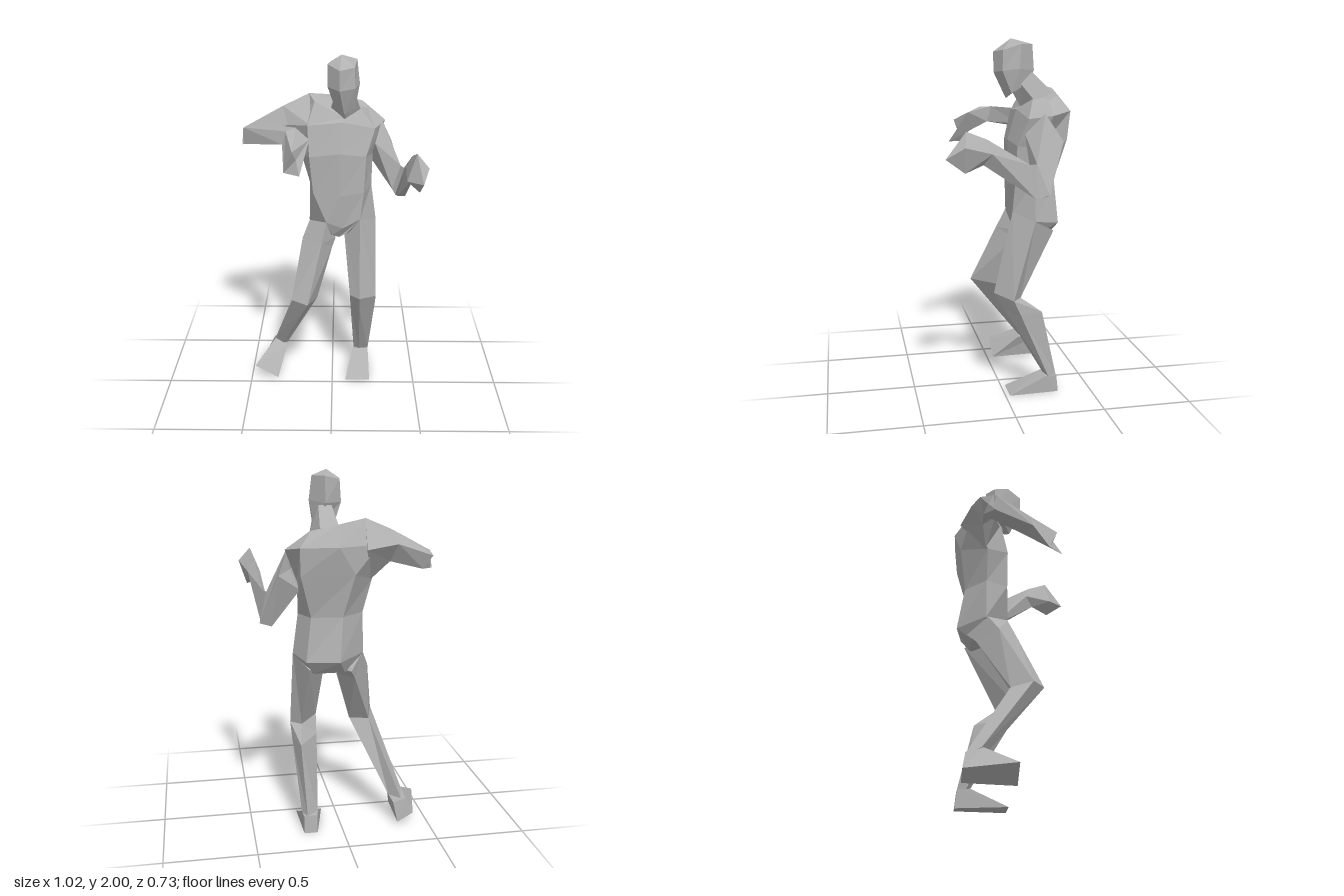
import * as THREE from 'three';

const grey = new THREE.MeshStandardMaterial({ color: 0xb0b0b0, flatShading: true });
grey.name = 'plain grey';

// Skin a series of cross-sections and cap both ends; the winding is set so faces point outward.
function loft(name, rings, tip) {
  const v = [], n = rings[0].length;
  const tri = (a, b, c) => v.push([a, b, c]);
  const centre = r => [0, 1, 2].map(k => r.reduce((s, p) => s + p[k], 0) / n);
  for (let i = 0; i < rings.length - 1; i++) {
    for (let j = 0; j < n; j++) {
      const k = (j + 1) % n, a = rings[i], b = rings[i + 1];
      tri(a[j], a[k], b[k]);
      tri(a[j], b[k], b[j]);
    }
  }
  const first = rings[0], last = rings[rings.length - 1];
  const c0 = centre(first), c1 = tip || centre(last);
  for (let j = 0; j < n; j++) {
    const k = (j + 1) % n;
    tri(c0, first[k], first[j]);
    tri(c1, last[j], last[k]);
  }
  const V = p => new THREE.Vector3(...p);
  const volume = v.reduce((s, [a, b, c]) => s + V(a).dot(V(b).cross(V(c))), 0);
  const corners = v.flatMap(([a, b, c]) => (volume > 0 ? [a, b, c] : [a, c, b])).flat();
  const g = new THREE.BufferGeometry();
  g.setAttribute('position', new THREE.Float32BufferAttribute(corners, 3));
  g.computeVertexNormals();
  const mesh = new THREE.Mesh(g, grey);
  mesh.name = name;
  return mesh;
}

export function createModel() {
  const figure = new THREE.Group();
  figure.name = 'posedFigure';
  const add = (name, rings, tip) => figure.add(loft(name, rings, tip));

  // Torso: three front corners, left side, two back corners, right side
  add('torso', [
    [[0, .95, -.08], [.04, .93, -.1], [.08, .96, -.08], [.2, .93, -.17], [.15, .92, -.25], [-.02, .92, -.25], [-.1, .95, -.17]],
    [[-.035, 1.04, -.05], [.06, 1, -.06], [.16, 1.06, -.05], [.255, 1.02, -.16], [.2, 1, -.3], [.02, 1, -.335], [-.135, 1.01, -.18]],
    [[-.11, 1.22, -.06], [.04, 1.2, -.045], [.18, 1.22, -.06], [.225, 1.24, -.16], [.17, 1.24, -.28], [0, 1.24, -.295], [-.13, 1.24, -.18]],
    [[-.13, 1.43, -.06], [.04, 1.45, -.045], [.19, 1.43, -.07], [.23, 1.42, -.18], [.23, 1.47, -.335], [-.06, 1.47, -.33], [-.18, 1.42, -.18]],
    [[-.14, 1.6, -.1], [.06, 1.62, -.09], [.24, 1.58, -.12], [.3, 1.6, -.24], [.235, 1.62, -.35], [.03, 1.62, -.365], [-.2, 1.62, -.28]],
    [[-.1, 1.72, -.17], [.07, 1.64, -.12], [.16, 1.68, -.16], [.2, 1.67, -.24], [.17, 1.7, -.29], [.03, 1.73, -.3], [-.135, 1.755, -.23]],
  ]);

  // Neck
  add('neck', [
    [[.07, 1.62, -.12], [.16, 1.67, -.17], [.12, 1.71, -.28], [.02, 1.72, -.28], [-.01, 1.68, -.17]],
    [[.07, 1.74, -.05], [.13, 1.76, -.1], [.11, 1.82, -.17], [.04, 1.82, -.17], [.01, 1.76, -.1]],
  ]);

  // Head: jaw, cheeks, brow, crown
  add('head', [
    [[.065, 1.68, -.03], [.125, 1.71, -.05], [.13, 1.74, -.1], [.08, 1.75, -.15], [.01, 1.74, -.12], [.015, 1.71, -.06]],
    [[.04, 1.82, .033], [.125, 1.83, 0], [.15, 1.84, -.09], [.075, 1.83, -.185], [-.02, 1.83, -.12], [-.025, 1.83, -.04]],
    [[.04, 1.93, .035], [.12, 1.94, -.005], [.135, 1.97, -.1], [.075, 1.97, -.175], [-.01, 1.95, -.13], [-.025, 1.95, -.05]],
  ], [.05, 2, -.06]);

  // Right arm, raised sideways: top, back, bottom, front
  add('rightUpperArm', [
    [[-.13, 1.755, -.23], [-.12, 1.6, -.34], [-.17, 1.42, -.19], [-.12, 1.6, -.1]],
    [[-.28, 1.69, -.19], [-.3, 1.62, -.288], [-.27, 1.52, -.22], [-.25, 1.59, -.15]],
    [[-.5, 1.57, -.18], [-.5, 1.55, -.255], [-.45, 1.475, -.23], [-.515, 1.47, -.17]],
  ]);
  const rightWrist = [[-.25, 1.61, .06], [-.27, 1.54, .07], [-.18, 1.53, .03], [-.2, 1.615, 0]];
  add('rightForearm', [
    [[-.505, 1.57, -.17], [-.515, 1.47, -.18], [-.4, 1.49, -.2], [-.34, 1.59, -.165]],
    rightWrist,
  ]);
  add('rightHand', [
    rightWrist,
    [[-.21, 1.54, .22], [-.26, 1.41, .165], [-.17, 1.42, .255], [-.12, 1.59, .15]],
  ]);

  // Left arm, elbow down: top, outer, bottom, inner
  const leftElbow = [[.39, 1.36, -.13], [.435, 1.2, -.19], [.37, 1.18, -.19], [.345, 1.22, -.12]];
  add('leftUpperArm', [
    [[.28, 1.61, -.2], [.34, 1.47, -.285], [.22, 1.38, -.22], [.24, 1.5, -.1]],
    leftElbow,
  ]);
  const leftWrist = [[.43, 1.5, .14], [.47, 1.43, .12], [.43, 1.37, .16], [.4, 1.43, .12]];
  add('leftForearm', [leftElbow, [[.415, 1.18, -.1], [.42, 1.18, -.12], [.375, 1.18, -.12], [.36, 1.2, -.09]].map((p, i) => i ? p : [.405, 1.36, -.09]), leftWrist]);
  add('leftHand', [
    leftWrist,
    [[.445, 1.545, .25], [.51, 1.47, .265], [.465, 1.335, .26], [.395, 1.4, .27]],
  ], [.475, 1.41, .36]);

  // Legs: inner, front, outer, back
  const leftKnee = [[.105, .6, 0], [.16, .6, .055], [.26, .575, -.04], [.2, .575, -.09]];
  add('leftThigh', [
    [[.07, .95, -.12], [.16, 1.06, -.05], [.255, 1.02, -.16], [.18, .95, -.28]],
    leftKnee,
  ]);
  add('leftCalf', [
    leftKnee,
    [[.11, .5, -.06], [.163, .5, 0], [.255, .49, -.08], [.22, .49, -.21]],
    [[.135, .105, -.25], [.168, .105, -.23], [.225, .1, -.25], [.2, .1, -.3]],
  ]);
  const rightKnee = [[-.09, .57, -.02], [-.14, .6, .14], [-.235, .6, .07], [-.2, .57, -.05]];
  add('rightThigh', [
    [[.02, .92, -.12], [-.035, 1.04, -.05], [-.135, 1.01, -.17], [-.05, .93, -.28]],
    [[.0, .87, -.1], [-.06, .93, .0], [-.175, .92, -.11], [-.08, .88, -.23]],
    rightKnee,
  ]);
  add('rightCalf', [
    rightKnee,
    [[-.285, .155, -.22], [-.31, .165, -.19], [-.36, .19, -.21], [-.34, .16, -.29]],
  ]);

  // Feet: ankle then sole, from inner toe round to inner heel
  add('leftFoot', [
    [[.13, .105, -.23], [.225, .1, -.235], [.22, .1, -.3], [.145, .1, -.3]],
    [[.08, 0, -.025], [.23, 0, -.025], [.22, 0, -.31], [.145, 0, -.31]],
  ]);
  add('rightFoot', [
    [[-.285, .155, -.19], [-.36, .19, -.2], [-.37, .16, -.29], [-.3, .13, -.28]],
    [[-.335, .01, -.03], [-.475, .09, -.035], [-.41, .07, -.305], [-.32, .02, -.305]],
  ]);

  return figure;
}
